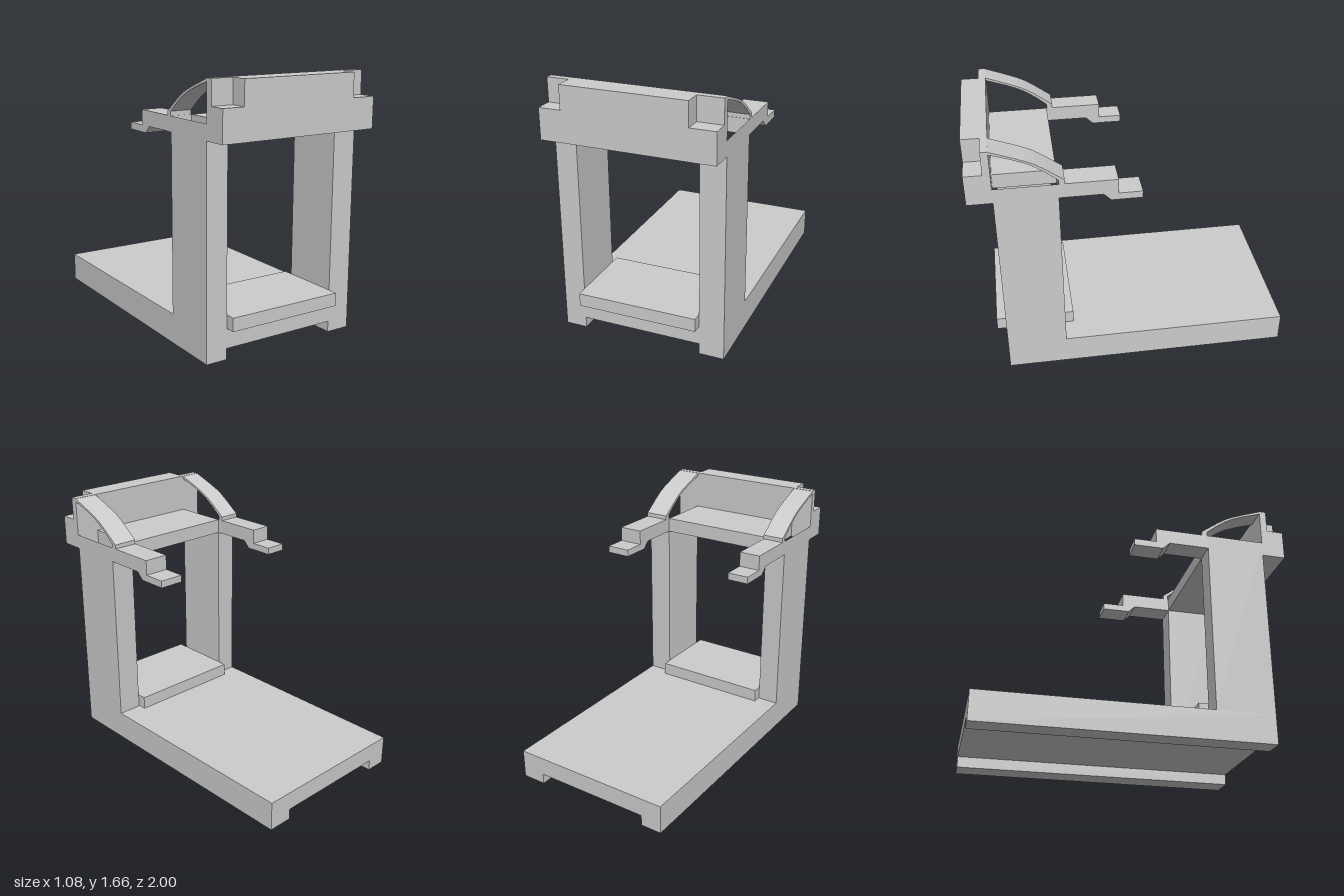
import * as THREE from 'three';

const material = new THREE.MeshStandardMaterial({ color: 0xcccccc, flatShading: true });
const thinMaterial = new THREE.MeshStandardMaterial({ color: 0xcccccc, flatShading: true, side: THREE.DoubleSide });

// Inner and outer x limits shared by everything on each side
const LEFT = [0.38, 0.54];
const RIGHT = [-0.54, -0.40];
const INNER = [-0.40, 0.38];

function add(parent, name, geometry, mat = material) {
  const mesh = new THREE.Mesh(geometry, mat);
  mesh.name = name;
  parent.add(mesh);
  return mesh;
}

// Box given by its limits on each axis
function box([x0, x1], [y0, y1], [z0, z1]) {
  return new THREE.BoxGeometry(x1 - x0, y1 - y0, z1 - z0)
    .translate((x0 + x1) / 2, (y0 + y1) / 2, (z0 + z1) / 2);
}

// Same box without its upper face
function openBox(x, y, z) {
  const geometry = box(x, y, z);
  const index = Array.from(geometry.index.array);
  index.splice(12, 6);
  geometry.setIndex(index);
  geometry.clearGroups();
  return geometry;
}

// Side profile of [z, y] points, extruded across x
function sideExtrude(points, [x0, x1]) {
  const shape = new THREE.Shape(points.map(([z, y]) => new THREE.Vector2(-z, y)));
  return new THREE.ExtrudeGeometry(shape, { depth: x1 - x0, bevelEnabled: false })
    .rotateY(Math.PI / 2)
    .translate(x0, 0, 0);
}

export function createModel() {
  const model = new THREE.Group();
  model.name = 'treadmill';

  // Running deck with a channel along its underside
  const deckShape = new THREE.Shape([
    [-0.54, 0], [-0.40, 0], [-0.40, 0.07], [0.38, 0.07],
    [0.38, 0], [0.54, 0], [0.54, 0.19], [-0.54, 0.19],
  ].map(([x, y]) => new THREE.Vector2(x, y)));
  const deck = new THREE.ExtrudeGeometry(deckShape, { depth: 1.845, bevelEnabled: false });
  add(model, 'deck', deck.translate(0, 0, -1));

  // Raised cover between the posts
  add(model, 'motorCover', box(INNER, [0.195, 0.28], [0.40, 0.91]));

  // Console: tray, front beam and its raised centre
  const console_ = new THREE.Group();
  console_.name = 'console';
  model.add(console_);
  add(console_, 'tray', box(INNER, [1.315, 1.41], [0.463, 0.845]));
  add(console_, 'frontBeam', box([-0.54, 0.54], [1.315, 1.51], [0.845, 1]));
  add(console_, 'frontPanel', box(INNER, [1.51, 1.66], [0.845, 1]));

  for (const [side, x] of [['left', LEFT], ['right', RIGHT]]) {
    const group = new THREE.Group();
    group.name = side + 'Side';
    model.add(group);

    add(group, 'post', openBox(x, [0.19, 1.41], [0.463, 0.845]));
    add(group, 'cornerWall', box(x, [1.51, 1.66], [0.845, 0.89]));

    // Arm with a lowered grip at its end
    add(group, 'handrail', sideExtrude([
      [0.463, 1.315], [0.463, 1.41], [0.11, 1.41], [0.11, 1.315],
      [-0.035, 1.315], [-0.035, 1.27], [0.155, 1.27], [0.20, 1.315],
    ], x));

    // Thin curved strip from the beam down to the arm
    add(group, 'curvedStrip', sideExtrude([
      [0.85, 1.66], [0.72, 1.612], [0.64, 1.58], [0.59, 1.555], [0.53, 1.515],
      [0.425, 1.437], [0.425, 1.41], [0.46, 1.41], [0.46, 1.437],
      [0.53, 1.495], [0.59, 1.537], [0.64, 1.565], [0.72, 1.598], [0.85, 1.642],
    ], x), thinMaterial);
  }

  return model;
}
